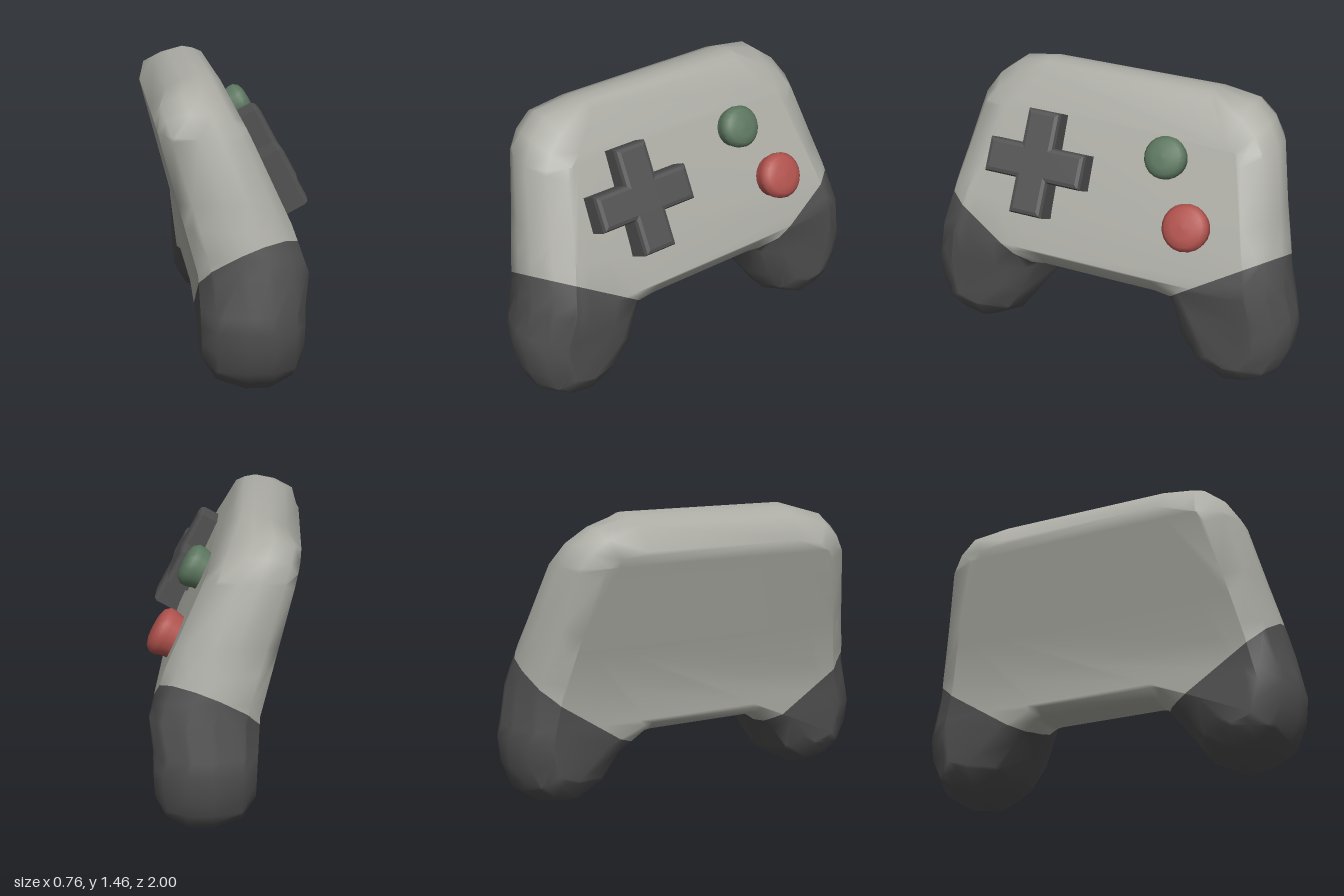
import * as THREE from 'three';
import { mergeVertices } from 'three/addons/utils/BufferGeometryUtils.js';

const TILT = 0.49; // lean of the control face

// Piecewise-linear lookup over [y, x] points, sorted by rising y
function lookup(pts, y) {
  if (y <= pts[0][0]) return pts[0][1];
  for (let i = 1; i < pts.length; i++) {
    const [y0, x0] = pts[i - 1], [y1, x1] = pts[i];
    if (y <= y1) return x0 + (x1 - x0) * (y - y0) / (y1 - y0);
  }
  return pts[pts.length - 1][1];
}
const FRONT = [[0, 0.3], [0.42, 0.305], [0.58, 0.325], [0.8, 0.25], [1.22, 0.06], [1.455, -0.06]];
const BACK = [[0, -0.17], [0.14, -0.172], [0.58, -0.19], [1.455, -0.42]];

// Keeps the part of every triangle where f >= 0
function clip(tris, f) {
  const out = [];
  for (const tri of tris) {
    const poly = [];
    for (let i = 0; i < 3; i++) {
      const a = tri[i], b = tri[(i + 1) % 3], fa = f(a), fb = f(b);
      if (fa >= 0) poly.push(a);
      if ((fa > 0 && fb < 0) || (fa < 0 && fb > 0)) {
        const k = fa / (fa - fb);
        poly.push(a.map((v, j) => v + (b[j] - v) * k));
      }
    }
    for (let i = 2; i < poly.length; i++) out.push([poly[0], poly[i - 1], poly[i]]);
  }
  return out;
}

// Edge roundings from front to back: [inset, depth fraction (1 front, 0 back)]
const EDGE = {
  side: [[0.14, 1], [0.05, 0.89], [0, 0.66], [0, 0.42], [0.05, 0.13], [0.15, 0]],
  top: [[0.03, 1], [0.01, 0.9], [0, 0.76], [0.02, 0.52], [0.055, 0.28], [0.17, 0]],
  notch: [[0.21, 1], [0.11, 0.87], [0, 0.42], [0, 0.25], [0, 0.08], [0.04, 0]],
};

// Half outline [z, y, edge], from the top round the grip to the notch
const HALF = [
  [0.45, 1.455, 'top'], [0.64, 1.395, 'side'], [0.74, 1.32, 'side'], [0.805, 1.22, 'side'],
  [0.87, 0.93, 'side'], [0.93, 0.68, 'side'], [1, 0.35, 'side'], [0.985, 0.22, 'side'],
  [0.93, 0.09, 'side'], [0.83, 0.025, 'side'], [0.68, 0, 'side'], [0.52, 0.085, 'side'],
  [0.42, 0.225, 'side'], [0.33, 0.355, 'notch'], [0.3, 0.36, 'notch'],
];

// The complete shell as triangles of [x, y, z, nx, ny, nz]
function shellTriangles() {
  const outline = [...HALF, ...HALF.slice().reverse().map(([z, y, e]) => [-z, y, e])];
  const n = outline.length;
  const inward = outline.map((p, i) => {
    const a = outline[(i + n - 1) % n], b = outline[(i + 1) % n];
    const normal = (s, e) => new THREE.Vector2(s[1] - e[1], s[0] - e[0]).normalize();
    const n0 = normal(a, p), n1 = normal(p, b);
    return n0.clone().add(n1).divideScalar(1 + n0.dot(n1)); // in (-z, y)
  });
  const rings = EDGE.side.map((_, j) => outline.map(([z, y, e], i) => {
    const [inset, t] = EDGE[e][j];
    return [t, y + inward[i].y * inset, z - inward[i].x * inset];
  }));

  // Rim between the rings, then the two caps
  let tris = [];
  for (let j = 0; j < rings.length - 1; j++) {
    for (let i = 0; i < n; i++) {
      const k = (i + 1) % n;
      const a = rings[j][i], b = rings[j][k], c = rings[j + 1][k], d = rings[j + 1][i];
      tris.push([a, d, c], [a, c, b]);
    }
  }
  const cap = (ring, flip) => {
    const flat = ring.map((v) => new THREE.Vector2(-v[2], v[1]));
    for (const [a, b, c] of THREE.ShapeUtils.triangulateShape(flat, [])) {
      tris.push(flip ? [ring[a], ring[c], ring[b]] : [ring[a], ring[b], ring[c]]);
    }
  };
  cap(rings[0], false);
  cap(rings[rings.length - 1], true);

  // Split at the bends so that the shell follows the side profile
  for (const level of [0.14, 0.42, 0.58, 0.8, 1.22]) {
    tris = [...clip(tris, (v) => v[1] - level), ...clip(tris, (v) => level - v[1])];
  }
  const points = tris.flat().flatMap(([t, y, z]) => {
    const back = lookup(BACK, y);
    return [back + (lookup(FRONT, y) - back) * t, y, z];
  });
  let geo = new THREE.BufferGeometry();
  geo.setAttribute('position', new THREE.Float32BufferAttribute(points, 3));
  geo = mergeVertices(geo, 1e-4);
  geo.computeVertexNormals();
  geo = geo.toNonIndexed();
  const p = geo.attributes.position, q = geo.attributes.normal, result = [];
  for (let i = 0; i < p.count; i += 3) {
    result.push([i, i + 1, i + 2].map((k) =>
      [p.getX(k), p.getY(k), p.getZ(k), q.getX(k), q.getY(k), q.getZ(k)]));
  }
  return result;
}

function toGeometry(tris) {
  const verts = tris.flat(), geo = new THREE.BufferGeometry();
  geo.setAttribute('position', new THREE.Float32BufferAttribute(verts.flatMap((v) => v.slice(0, 3)), 3));
  geo.setAttribute('normal', new THREE.Float32BufferAttribute(verts.flatMap((v) => v.slice(3)), 3));
  return geo;
}

export function createModel() {
  const model = new THREE.Group();
  model.name = 'gameController';
  const material = (name, color) => {
    const m = new THREE.MeshStandardMaterial({ color });
    m.name = name;
    return m;
  };
  const grey = material('shell grey', 0xadada6);
  const dark = material('dark grey', 0x505050);
  const red = material('button red', 0xb0524d);
  const green = material('button green', 0x5c765f);
  const add = (name, geo, mat) => {
    const mesh = new THREE.Mesh(geo, mat);
    mesh.name = name;
    model.add(mesh);
    return mesh;
  };

  // Shell, cut along a slanting plane into body and two grips
  const shell = shellTriangles();
  const above = (s) => (v) => v[1] - (0.74 + 0.66 * (s * v[2] - 0.85) + 0.42 * (v[0] - 0.2));
  add('body', toGeometry(clip(clip(shell, above(1)), above(-1))), grey);
  for (const [name, s] of [['frontGrip', 1], ['backGrip', -1]]) {
    add(name, toGeometry(clip(shell, (v) => -above(s)(v))), dark);
  }

  // Cross-shaped direction pad
  const a = 0.065, b = 0.242;
  const cross = new THREE.Shape([
    [a, a], [a, b], [-a, b], [-a, a], [-b, a], [-b, -a],
    [-a, -a], [-a, -b], [a, -b], [a, -a], [b, -a], [b, a],
  ].map(([x, y]) => new THREE.Vector2(x, y)));
  const padGeo = new THREE.ExtrudeGeometry(cross, {
    depth: 0.15, bevelEnabled: true, bevelSize: 0.024, bevelThickness: 0.025, bevelSegments: 2,
  });
  padGeo.translate(0, 0, -0.075).rotateY(Math.PI / 2);
  const pad = add('directionPad', padGeo, dark);
  pad.position.set(0.178, 1.007, 0.352);
  pad.rotation.z = TILT;

  // Round push buttons
  for (const [name, x, y, z, r, mat] of [
    ['upperButton', 0.14, 1.165, -0.31, 0.105, green],
    ['lowerButton', 0.275, 0.885, -0.478, 0.117, red],
  ]) {
    const profile = [[0.85, -0.12], [0.92, -0.04], [1, -0.01], [1, 0.02], [0.82, 0.045], [0.5, 0.056], [0, 0.06]]
      .map(([k, h]) => new THREE.Vector2(k * r, h));
    const button = add(name, new THREE.LatheGeometry(profile, 20), mat);
    button.position.set(x, y, z);
    button.rotation.z = TILT - Math.PI / 2;
  }
  return model;
}
